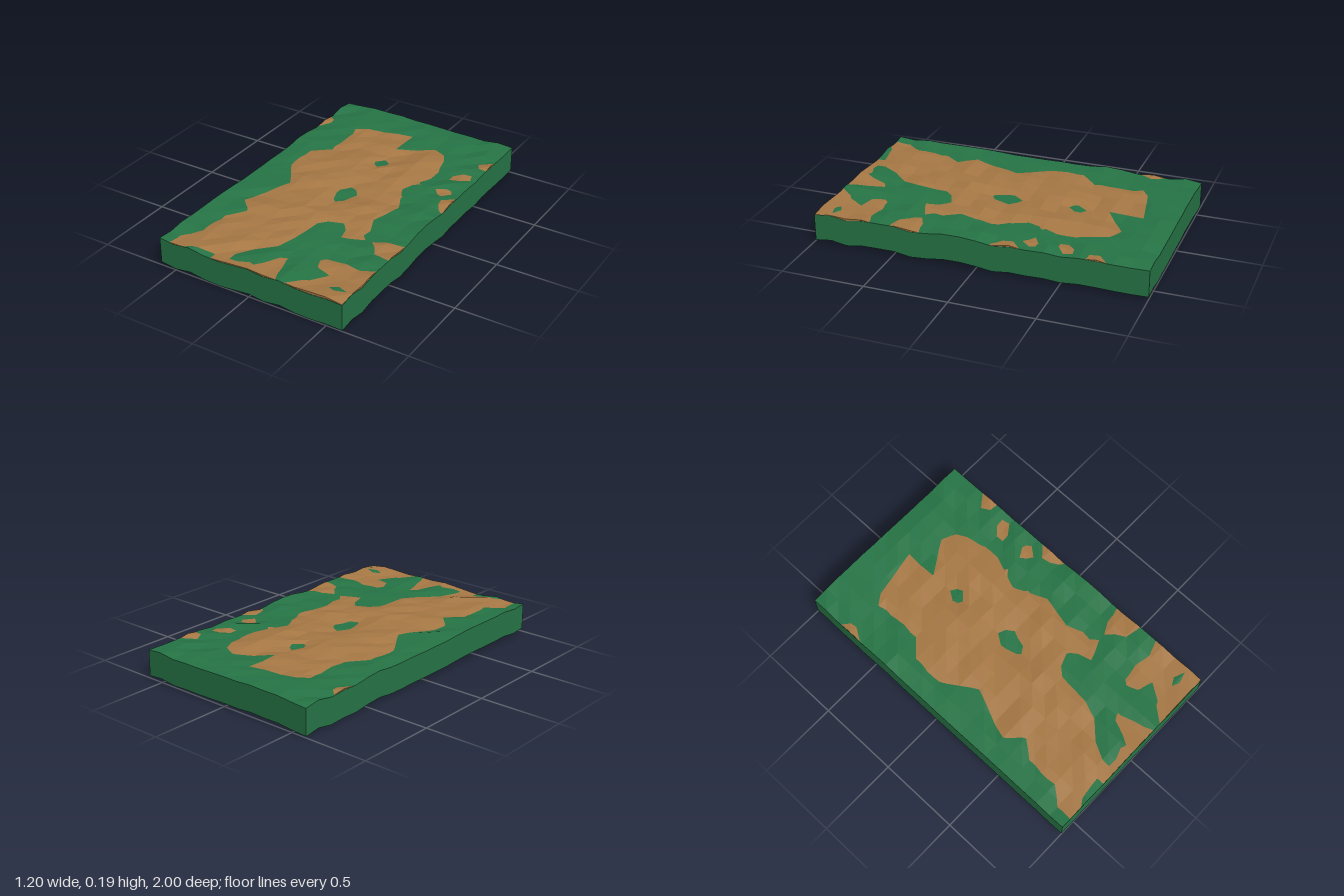
import * as THREE from 'three';

const W = 1.2, L = 2, NX = 12, NZ = 20, STEP = 0.1, WALL = 0.16;
const { clamp } = THREE.MathUtils;

// Outline of the large soil clearing, x and z in turn
const clearing = [
  -.38, -.73, 0, -.8, -.01, -.59, .2, -.73, .31, -.68, .36, -.42, .27, -.2, .36, 0, .31, .2,
  .39, .4, .21, .47, .23, .3, .06, .36, .03, .67, -.1, .8, -.18, .95, 0, .98, .04, .8,
  .12, .78, .2, 1.2, -.24, 1.2, -.24, 1, -.34, .93, -.52, 1.05, -.56, .93, -.44, .8, -.46, .62,
  -.35, .49, -.46, .4, -.33, .1, -.46, -.1, -.46, -.3, -.34, -.4, -.35, -.57,
];

// Small oval patches: centre x, centre z, radius x, radius z
const soilPatches = [
  [.36, .73, .09, .08], [.58, .78, .13, .13], [.43, 1, .2, .12], [.58, .43, .14, .09],
  [.6, -.17, .08, .09], [.48, -.29, .06, .05], [.51, -.5, .06, .05], [.6, -.7, .08, .06], [-.6, -.7, .05, .08],
];
const grassPatches = [[.01, -.41, .05, .06], [.02, .03, .07, .1], [.5, .89, .05, .03]];

// Distances are positive inside a patch
const ovalDistance = (x, z, [cx, cz, rx, rz]) => (1 - Math.hypot((x - cx) / rx, (z - cz) / rz)) * Math.min(rx, rz);

function clearingDistance(x, z) {
  let inside = false, best = Infinity;
  for (let i = 0; i < clearing.length; i += 2) {
    const j = (i + 2) % clearing.length;
    const ax = clearing[i], az = clearing[i + 1], dx = clearing[j] - ax, dz = clearing[j + 1] - az;
    const t = clamp(((x - ax) * dx + (z - az) * dz) / (dx * dx + dz * dz), 0, 1);
    best = Math.min(best, Math.hypot(ax + dx * t - x, az + dz * t - z));
    if ((az > z) !== (az + dz > z) && x < ax + dx * (z - az) / dz) inside = !inside;
  }
  return inside ? best : -best;
}

// How far the soil rises above (or sinks below) the grass at a grid point
function lift(i, k) {
  const x = -W / 2 + i * STEP, z = -L / 2 + k * STEP;
  const soil = Math.max(clearingDistance(x, z), ...soilPatches.map((o) => ovalDistance(x, z, o)));
  const grass = Math.max(...grassPatches.map((o) => ovalDistance(x, z, o)));
  return 0.15 * clamp(Math.min(soil, -grass), -0.1, 0.1);
}

// Seeded bump between -1 and 1 for each grid point
function bump(i, k) {
  const s = Math.sin(i * 127.1 + k * 311.7) * 43758.5453;
  return (s - Math.floor(s)) * 2 - 1;
}

const grassHeight = (i, k) => 0.181 - lift(i, k) * 0.45 + bump(i, k) * 0.009;
const soilHeight = (i, k) => grassHeight(i, k) + lift(i, k);

// Faceted ground sheet plus the skirt hanging from its border
function groundLayer(name, height, depth, inset, material) {
  const layer = new THREE.Group();
  layer.name = name;
  const sheet = new THREE.PlaneGeometry(W - inset * 2, L - inset * 2, NX, NZ).rotateX(-Math.PI / 2);
  const p = sheet.attributes.position;
  for (let n = 0; n < p.count; n++) p.setY(n, height(n % (NX + 1), Math.floor(n / (NX + 1))));
  sheet.computeVertexNormals();

  // Border loop: front, right, back, left
  const border = [];
  for (let i = 0; i < NX; i++) border.push([i, NZ]);
  for (let k = NZ; k > 0; k--) border.push([NX, k]);
  for (let i = NX; i > 0; i--) border.push([i, 0]);
  for (let k = 0; k < NZ; k++) border.push([0, k]);
  const pos = [], index = [];
  border.forEach(([i, k], n) => {
    const v = k * (NX + 1) + i;
    pos.push(p.getX(v), p.getY(v), p.getZ(v), p.getX(v), p.getY(v) - depth, p.getZ(v));
    const a = n * 2, b = ((n + 1) % border.length) * 2;
    index.push(a, a + 1, b + 1, a, b + 1, b);
  });
  const skirt = new THREE.BufferGeometry();
  skirt.setAttribute('position', new THREE.Float32BufferAttribute(pos, 3));
  skirt.setIndex(index);
  skirt.computeVertexNormals();

  for (const [part, geometry] of [['Surface', sheet], ['Skirt', skirt]]) {
    const mesh = new THREE.Mesh(geometry, material);
    mesh.name = name + part;
    layer.add(mesh);
  }
  return layer;
}

export function createModel() {
  const options = { flatShading: true, side: THREE.DoubleSide };
  const grass = new THREE.MeshStandardMaterial({ name: 'grass green', color: 0x267546, ...options });
  const soil = new THREE.MeshStandardMaterial({ name: 'soil brown', color: 0xa87945, ...options });

  const model = new THREE.Group();
  model.name = 'groundTile';
  model.add(groundLayer('grass', grassHeight, WALL, 0, grass));
  model.add(groundLayer('soil', soilHeight, 0.05, 0.002, soil));
  return model;
}
